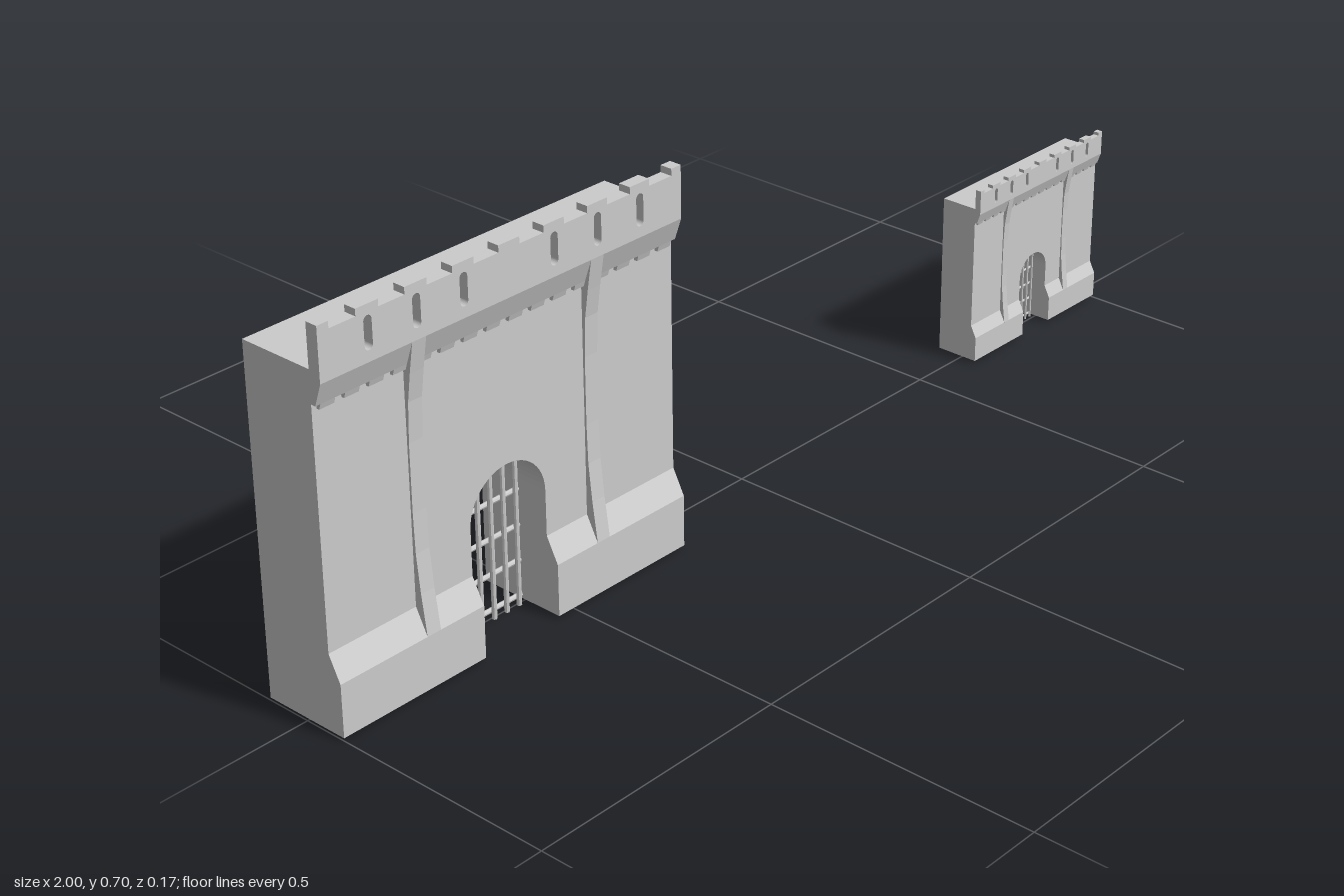
import * as THREE from 'three';

const W = 0.76, HALF = W / 2;          // gate width
const DOOR = 0.082, SPRING = 0.228;    // doorway half width, height where the arch starts
const BOTTOM = 0.005, BACK = -0.085, FACE = 0.06, FRONT = 0.083;

const stone = new THREE.MeshStandardMaterial({ color: 0xcccccc, flatShading: true });

function part(name, geometry) {
  const mesh = new THREE.Mesh(geometry, stone);
  mesh.name = name;
  return mesh;
}

function shapeOf(points) {
  return new THREE.Shape(points.map(([x, y]) => new THREE.Vector2(x, y)));
}

// Extrude a front outline from z0 to z1
function slab(name, shape, z0, z1) {
  const g = new THREE.ExtrudeGeometry(shape, { depth: z1 - z0, bevelEnabled: false, curveSegments: 12 });
  return part(name, g.translate(0, 0, z0));
}

// Extrude a side profile of [z, y] points from x0 to x1
function moulding(name, profile, x0, x1) {
  const shape = shapeOf(profile.map(([z, y]) => [-z, y]));
  const g = new THREE.ExtrudeGeometry(shape, { depth: x1 - x0, bevelEnabled: false });
  return part(name, g.rotateY(Math.PI / 2).translate(x0, 0, 0));
}

// Wall with the arched passage
function wall() {
  const s = new THREE.Shape();
  s.moveTo(-HALF, BOTTOM);
  s.lineTo(-DOOR, BOTTOM);
  s.lineTo(-DOOR, SPRING);
  s.absarc(0, SPRING, DOOR, Math.PI, 0, true);
  s.lineTo(DOOR, BOTTOM);
  s.lineTo(HALF, BOTTOM);
  s.lineTo(HALF, 0.622);
  s.lineTo(-HALF, 0.622);
  s.closePath();
  return slab('wall', s, BACK, FACE);
}

// Parapet with merlons and arrow slits
function parapet() {
  const pitch = W / 8, m = 0.022, top = 0.698, notch = 0.686;
  const pts = [[-HALF, 0.605], [HALF, 0.605]];
  for (let i = 4; i >= -4; i--) {
    const x = i * pitch, r = Math.min(HALF, x + m), l = Math.max(-HALF, x - m);
    if (i < 4) pts.push([r, notch]);
    pts.push([r, top], [l, top]);
    if (i > -4) pts.push([l, notch]);
  }
  const s = shapeOf(pts);
  for (const i of [-3, -2, -1, 1, 2, 3]) {
    const x = i * pitch, w = 0.008, slit = new THREE.Path();
    slit.moveTo(x - w, 0.632);
    slit.absarc(x, 0.672, w, Math.PI, 0, true);
    slit.absarc(x, 0.632, w, 0, -Math.PI, true);
    s.holes.push(slit);
  }
  return slab('parapet', s, FACE, FRONT);
}

// Iron grille of round bars filling the arch
function grille() {
  const g = new THREE.Group();
  g.name = 'grille';
  const r = 0.0045;
  for (let i = -2.5; i <= 2.5; i++) {
    const x = i * 0.028, top = SPRING + Math.sqrt(DOOR ** 2 - x ** 2) + 0.003;
    const bar = part('verticalBar', new THREE.CylinderGeometry(r, r, top, 8));
    bar.position.set(x, top / 2, 0.004);
    g.add(bar);
  }
  for (const y of [0.012, 0.077, 0.142, 0.208, 0.273]) {
    const half = y > SPRING ? Math.sqrt(DOOR ** 2 - (y - SPRING) ** 2) : DOOR;
    const bar = part('crossBar', new THREE.CylinderGeometry(r, r, 2 * half + 0.004, 8).rotateZ(Math.PI / 2));
    bar.position.set(0, y, -0.004);
    g.add(bar);
  }
  return g;
}

function createGate(name) {
  const gate = new THREE.Group();
  gate.name = name;
  gate.add(wall(), parapet(), grille());

  // Sloped plinth on both sides of the doorway
  const plinth = [[FACE, BOTTOM], [FRONT, BOTTOM], [FRONT, 0.1], [FACE, 0.145]];
  gate.add(moulding('plinth', plinth, -HALF, -DOOR), moulding('plinth', plinth, DOOR, HALF));

  // Sloped cornice under the parapet with a row of small corbels
  gate.add(moulding('cornice', [[FACE, 0.565], [0.069, 0.565], [FRONT, 0.605], [FACE, 0.605]], -HALF, HALF));
  const n = 16, step = W / n;
  for (let i = 0; i < n; i++) {
    const x = -HALF + (i + 0.5) * step;
    gate.add(moulding('corbel', [[FACE, 0.555], [0.066, 0.555], [0.069, 0.565], [FACE, 0.565]], x - step * 0.3, x + step * 0.3));
  }

  // Curved ribs running from plinth to cornice
  const rib = [[FACE, 0.1], [FRONT, 0.1], [0.073, 0.172], [0.066, 0.24], [0.064, 0.31],
    [0.064, 0.43], [0.067, 0.5], [0.074, 0.55], [FRONT, 0.605], [FACE, 0.605]];
  for (const x of [-0.188, 0.188]) gate.add(moulding('rib', rib, x - 0.014, x + 0.014));
  return gate;
}

export function createModel() {
  const model = new THREE.Group();
  model.name = 'castleGates';
  const large = createGate('largeGate');
  large.position.set(-0.62, 0, 0);
  const small = createGate('smallGate');
  small.scale.setScalar(0.5);
  small.position.set(0.81, 0.0025, -0.006);
  model.add(large, small);
  return model;
}
